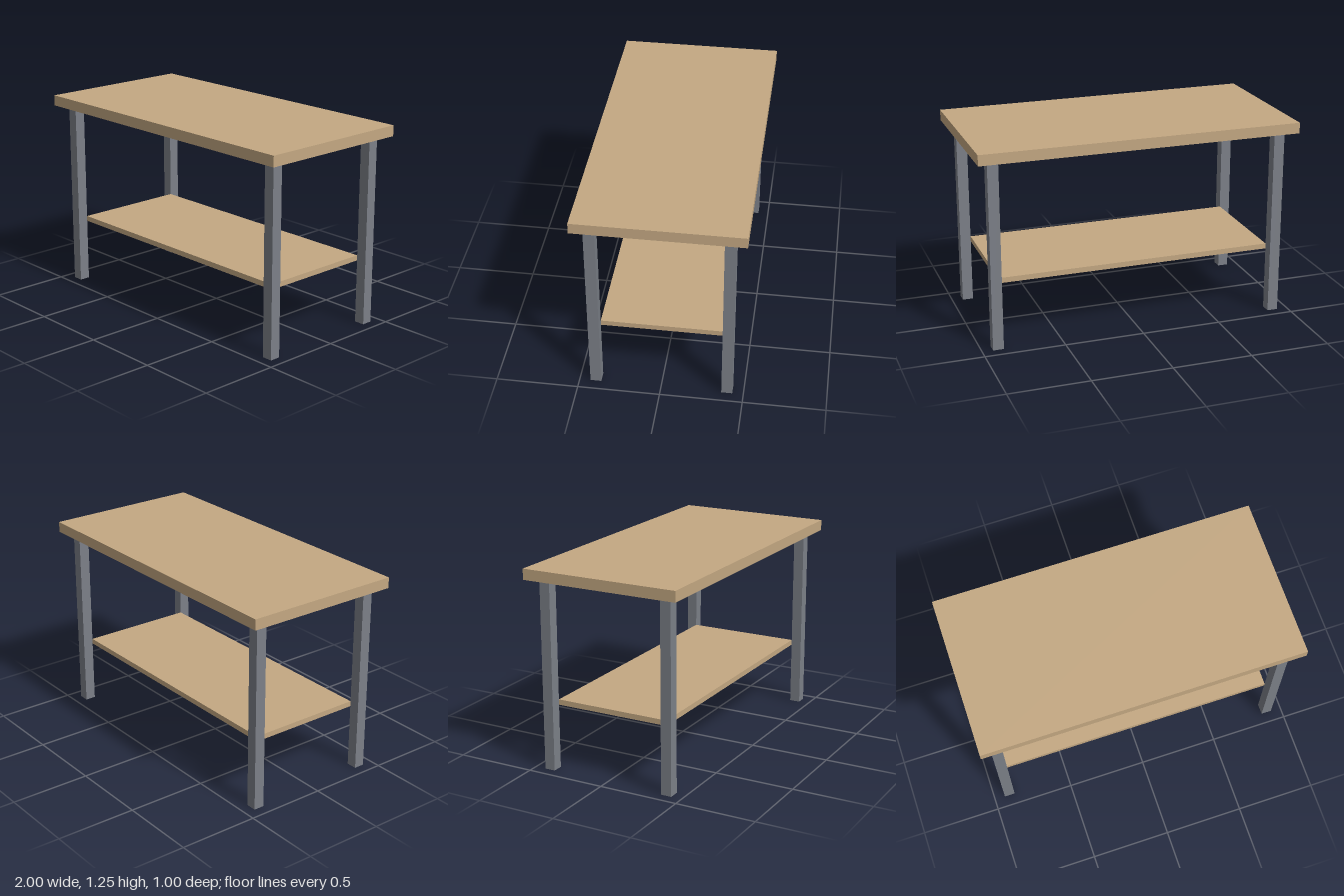
import * as THREE from 'three';

const wood = new THREE.MeshStandardMaterial({ color: 0xc4a882 });
const steel = new THREE.MeshStandardMaterial({ color: 0x7c8088 });

// Box standing on height y
function addBox(parent, name, material, [w, h, d], [x, y, z]) {
  const mesh = new THREE.Mesh(new THREE.BoxGeometry(w, h, d), material);
  mesh.name = name;
  mesh.position.set(x, y + h / 2, z);
  parent.add(mesh);
}

export function createModel() {
  const table = new THREE.Group();
  table.name = 'workTable';

  const leg = 0.0667, legX = 0.9, legZ = 0.4;
  const legHeight = 1.1833;

  // Thick top overhanging the legs
  addBox(table, 'tableTop', wood, [2, 0.0667, 1], [0, legHeight, 0]);

  // Thin lower shelf, its corners meeting the inner corners of the legs
  addBox(table, 'lowerShelf', wood, [2 * legX - leg, 0.0333, 2 * legZ - leg], [0, 0.4, 0]);

  // Four square legs
  for (const [sx, side] of [[1, 'Left'], [-1, 'Right']]) {
    for (const [sz, end] of [[1, 'front'], [-1, 'back']]) {
      addBox(table, `${end}${side}Leg`, steel, [leg, legHeight, leg], [sx * legX, 0, sz * legZ]);
    }
  }
  return table;
}
